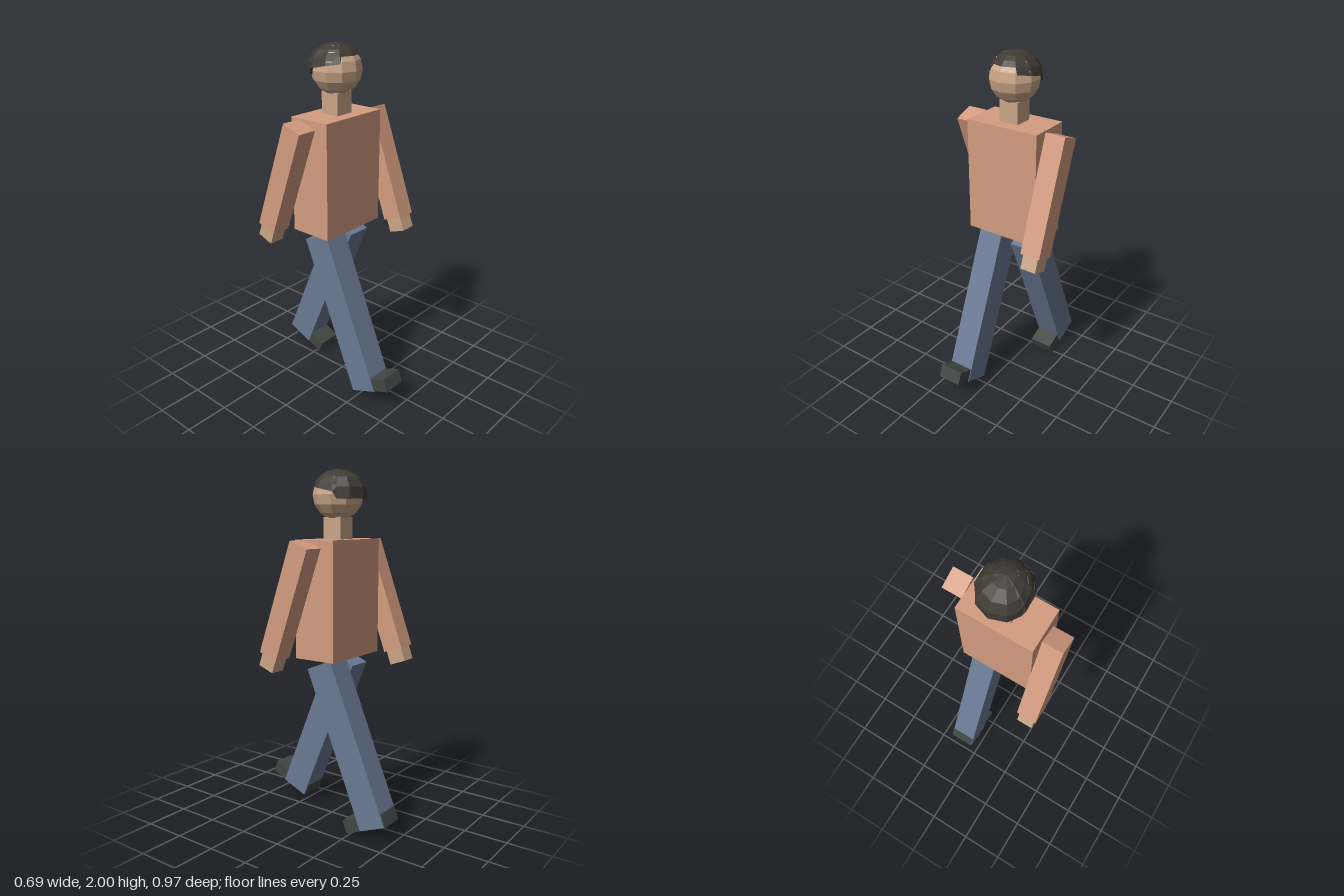
import * as THREE from 'three';

const material = (color) => new THREE.MeshStandardMaterial({ color, flatShading: true });
const skin = material(0xcaa688);
const shirt = material(0xd49c80);
const denim = material(0x6a7a94);
const leather = material(0x404844);
const hairMat = material(0x3f3a33);
hairMat.side = THREE.DoubleSide;

const BODY_Z = -0.0425;
const HEAD_Y = 1.862;
const HEAD_R = 0.139;

function addBox(parent, name, mat, size, pos) {
  const mesh = new THREE.Mesh(new THREE.BoxGeometry(...size), mat);
  mesh.name = name;
  mesh.position.set(...pos);
  parent.add(mesh);
}

// A limb group centred on its middle; a positive swing moves its lower end forward
function limbGroup(name, x, y, swing, offset) {
  const group = new THREE.Group();
  group.name = name;
  group.position.set(x, y, BODY_Z + Math.sign(swing) * offset);
  group.rotation.x = -THREE.MathUtils.degToRad(swing);
  return group;
}

function createArm(name, x, swing) {
  const arm = limbGroup(name, x, 1.297, swing, 0.1125);
  addBox(arm, 'sleeve', shirt, [0.117, 0.65, 0.12], [0, 0, 0]);
  addBox(arm, 'hand', skin, [0.092, 0.1, 0.1], [0, -0.355, 0]);
  return arm;
}

function createLeg(name, x, swing, soleDrop) {
  const leg = limbGroup(name, x, 0.509, swing, 0.1775);
  addBox(leg, 'trouserLeg', denim, [0.148, 0.941, 0.167], [0, 0, 0]);
  addBox(leg, 'shoe', leather, [0.14, 0.075, 0.272], [0, -0.433 - soleDrop, 0.048]);
  return leg;
}

// Cap of hair: columns around the head, each running from the crown to its own hairline
function createHair() {
  // [azimuth step of 36 degrees from the front, hairline height]
  const half = [[1, 1.94], [1.08, 1.905], [2, 1.895], [3, 1.875], [3.25, 1.84], [4, 1.84]];
  const columns = [
    [0, 1.94], ...half, [5, 1.84],
    ...half.slice().reverse().map(([k, y]) => [10 - k, y]),
  ];
  const rows = 4;
  const points = [];
  const index = [];
  for (const [k, edgeY] of columns) {
    const a = (k * Math.PI) / 5;
    // stay on the flat sides of the ten-sided skull between its corners
    const t = (k - Math.floor(k) - 0.5) * Math.PI / 5;
    const flat = Math.cos(Math.PI / 10) / Math.cos(t);
    const end = Math.acos(THREE.MathUtils.clamp((edgeY - HEAD_Y) / 0.138, -1, 1));
    const back = 0.021 * (1 - Math.cos(a)) / 2;
    for (let i = 0; i <= rows + 1; i++) {
      const theta = end * Math.min(i / rows, 1);
      // the last row turns inwards to close the underside
      const r = (i > rows ? 0.13 : 0.1445) * Math.sin(theta) * flat;
      points.push(
        Math.sin(a) * r,
        HEAD_Y + 0.138 * Math.cos(theta),
        BODY_Z + Math.cos(a) * r - back * Math.sin(theta),
      );
    }
  }
  const stride = rows + 2;
  for (let c = 0; c < columns.length; c++) {
    const p = c * stride;
    const q = ((c + 1) % columns.length) * stride;
    for (let i = 0; i <= rows; i++) {
      if (i > 0) index.push(p + i, p + i + 1, q + i);
      index.push(q + i, p + i + 1, q + i + 1);
    }
  }
  const geometry = new THREE.BufferGeometry();
  geometry.setAttribute('position', new THREE.Float32BufferAttribute(points, 3));
  geometry.setIndex(index);
  const flatGeometry = geometry.toNonIndexed();
  flatGeometry.computeVertexNormals();
  const hair = new THREE.Mesh(flatGeometry, hairMat);
  hair.name = 'hair';
  return hair;
}

export function createModel() {
  const model = new THREE.Group();
  model.name = 'walkingFigure';

  // Torso and neck
  addBox(model, 'torso', shirt, [0.44, 0.65, 0.253], [0, 1.3, BODY_Z]);
  addBox(model, 'neck', skin, [0.113, 0.13, 0.113], [0, 1.68, BODY_Z]);

  // Low-poly head with a corner facing forward
  const head = new THREE.Mesh(new THREE.SphereGeometry(HEAD_R, 10, 8), skin);
  head.name = 'head';
  head.scale.y = 0.985;
  head.rotation.y = Math.PI / 2;
  head.position.set(0, HEAD_Y, BODY_Z);
  model.add(head, createHair());

  // Arms and legs in mid-stride
  model.add(
    createArm('leftArm', 0.289, 20),
    createArm('rightArm', -0.289, -20),
    createLeg('leftLeg', 0.104, -22.5, 0.002),
    createLeg('rightLeg', -0.104, 22.5, -0.002),
  );
  return model;
}
